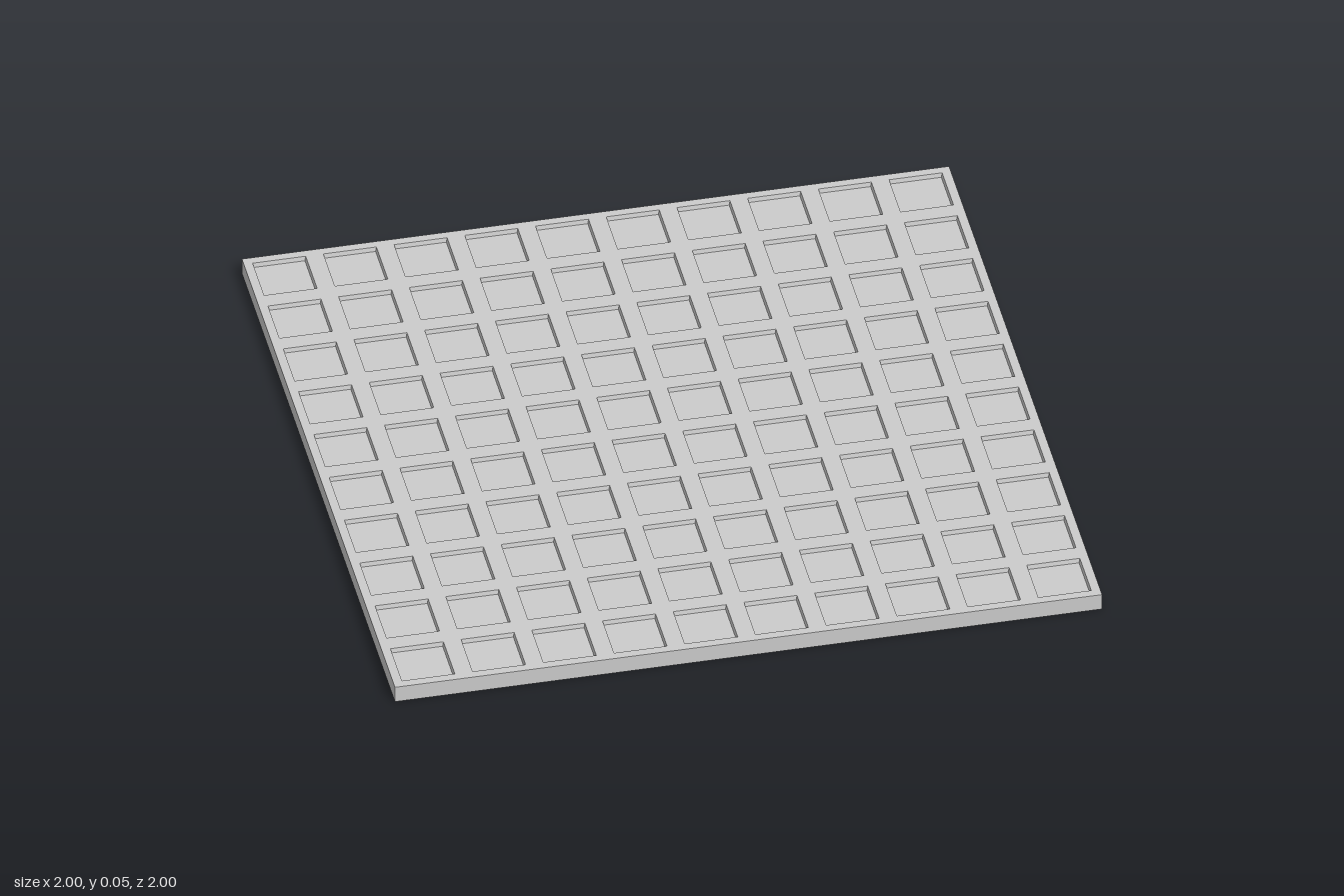
import * as THREE from 'three';
import { mergeGeometries } from 'three/addons/utils/BufferGeometryUtils.js';

const CELLS = 10;
const CELL = 2 / CELLS;
const TOP = 0.05;
const FLOOR = 0.037;

// Square cross-sections [half width, y] joined into a four-sided surface
function squareLoft(profile) {
  const points = profile.map(([half, y]) => new THREE.Vector2(half * Math.SQRT2, y));
  return new THREE.LatheGeometry(points, 4, Math.PI / 4);
}

export function createModel() {
  const group = new THREE.Group();
  group.name = 'waffleTile';
  const material = new THREE.MeshStandardMaterial({ color: 0xcccccc, flatShading: true });

  // Underside and outer edges of the slab
  const slab = new THREE.Mesh(squareLoft([[0, 0], [1, 0], [1, TOP]]), material);
  slab.name = 'slab';
  group.add(slab);

  // Top face: a grid of cells, each a flat rim around a shallow square pocket
  const cell = squareLoft([[CELL / 2, TOP], [0.075, TOP], [0.072, FLOOR], [0, FLOOR]]);
  const cells = [];
  for (let row = 0; row < CELLS; row++) {
    for (let col = 0; col < CELLS; col++) {
      cells.push(cell.clone().translate((col + 0.5) * CELL - 1, 0, (row + 0.5) * CELL - 1));
    }
  }
  const pockets = new THREE.Mesh(mergeGeometries(cells), material);
  pockets.name = 'pocketedTop';
  group.add(pockets);

  return group;
}
